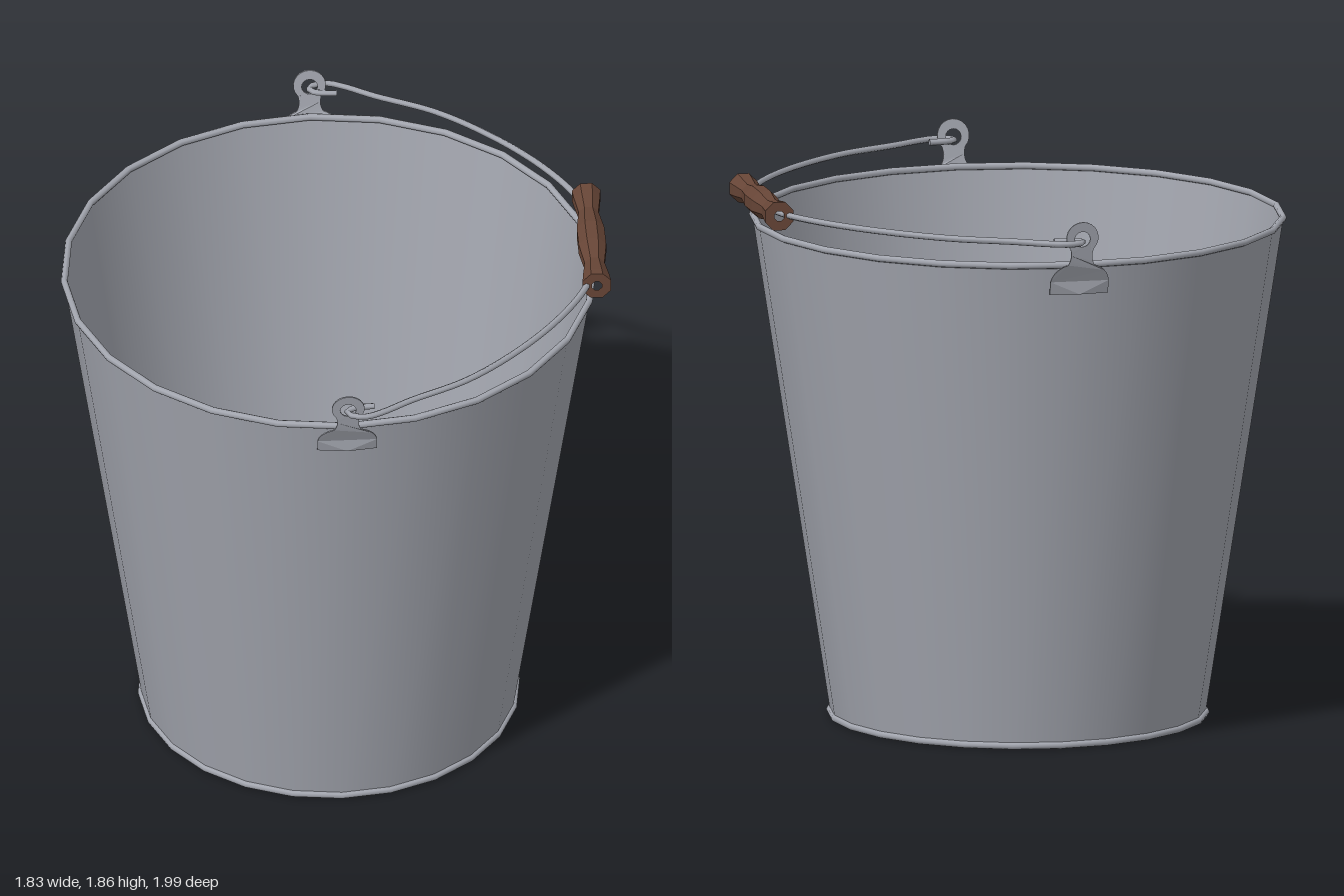
import * as THREE from 'three';

export function createModel() {
  const group = new THREE.Group();
  const metal = new THREE.MeshStandardMaterial({ color: 0xa3a6af, side: THREE.DoubleSide });
  metal.name = 'galvanised metal';
  const wood = new THREE.MeshStandardMaterial({ color: 0x684637, flatShading: true });
  wood.name = 'brown wood';

  const add = (name, geometry, material, parent = group) => {
    const mesh = new THREE.Mesh(geometry, material);
    mesh.name = name;
    parent.add(mesh);
    return mesh;
  };
  const SIDES = 24, CX = -0.015, WIRE_Y = 1.785;

  // Slightly oval bucket shell
  const bucket = new THREE.Group();
  bucket.name = 'bucket';
  bucket.position.x = CX;
  bucket.scale.x = 0.973;
  group.add(bucket);
  add('wall', new THREE.CylinderGeometry(0.915, 0.647, 1.69, SIDES, 1, true).translate(0, 0.857, 0), metal, bucket);
  add('floor', new THREE.CircleGeometry(0.648, SIDES).rotateX(-Math.PI / 2).translate(0, 0.02, 0), metal, bucket);
  add('underside', new THREE.CircleGeometry(0.652, SIDES).rotateX(Math.PI / 2).translate(0, 0.003, 0), metal, bucket);
  const bead = (name, radius, y) =>
    add(name, new THREE.TorusGeometry(radius, 0.012, 8, SIDES).rotateX(Math.PI / 2).translate(0, y, 0), metal, bucket);
  bead('rim', 0.914, 1.7);
  bead('baseRing', 0.648, 0.012);

  // Lug plate with an eye, leaning along the wall and bent round it
  const lugShape = new THREE.Shape();
  lugShape.moveTo(0, 1.6);
  lugShape.lineTo(0.1, 1.6);
  lugShape.lineTo(0.1, 1.645);
  lugShape.quadraticCurveTo(0.092, 1.69, 0.045, 1.705);
  lugShape.quadraticCurveTo(0.03, 1.73, 0.04, 1.762);
  lugShape.absarc(0, 1.8, 0.055, -0.76, Math.PI + 0.76, false);
  lugShape.quadraticCurveTo(-0.03, 1.73, -0.045, 1.705);
  lugShape.quadraticCurveTo(-0.092, 1.69, -0.1, 1.645);
  lugShape.lineTo(-0.1, 1.6);
  const eye = new THREE.Path();
  eye.absarc(0, 1.795, 0.027, 0, Math.PI * 2, true);
  lugShape.holes.push(eye);
  const lugGeometry = new THREE.ExtrudeGeometry(lugShape, { depth: 0.006, bevelEnabled: false, curveSegments: 8 });
  const p = lugGeometry.attributes.position;
  for (let i = 0; i < p.count; i++) {
    const y = p.getY(i);
    const lean = y < 1.7 ? 0.912 + (y - 1.6) * 0.28 : 0.94 + (y - 1.7) * 0.15;
    const bend = Math.abs(p.getX(i)) * 0.13 * Math.min(1, Math.max(0, (1.75 - y) / 0.1));
    p.setZ(i, p.getZ(i) + lean - bend);
  }
  lugGeometry.computeVertexNormals();
  for (const [name, turn] of [['frontLug', 0], ['backLug', Math.PI]]) {
    const lug = add(name, lugGeometry, metal);
    lug.position.x = CX;
    lug.rotation.y = turn;
  }

  // Wire bail, hooked through each eye and lying level to the right
  const half = [
    [0.075, 0.925], [0.03, 0.928], [-0.005, 0.938], [-0.018, 0.962], [0.005, 0.98], [0.045, 0.986],
    [0.1, 0.963], [0.2, 0.9], [0.4, 0.79], [0.6, 0.61], [0.75, 0.42], [0.84, 0.25], [0.868, 0.12],
  ];
  const path = [
    ...half.map(([x, z]) => new THREE.Vector3(x, WIRE_Y, z)),
    ...half.slice().reverse().map(([x, z]) => new THREE.Vector3(x, WIRE_Y, -z)),
  ];
  add('bailWire', new THREE.TubeGeometry(new THREE.CatmullRomCurve3(path), 120, 0.011, 6), metal);

  // Turned eight-sided grip with open ends around the wire
  const profile = [
    [0.018, -0.268], [0.052, -0.268], [0.048, -0.23], [0.036, -0.15], [0.05, -0.05],
    [0.05, 0.05], [0.036, 0.15], [0.048, 0.23], [0.052, 0.268], [0.018, 0.268],
  ].map(([r, y]) => new THREE.Vector2(r, y));
  const grip = new THREE.LatheGeometry(profile, 8, Math.PI / 8).rotateX(Math.PI / 2);
  add('grip', grip.translate(0.868, WIRE_Y, 0), wood);

  return group;
}
